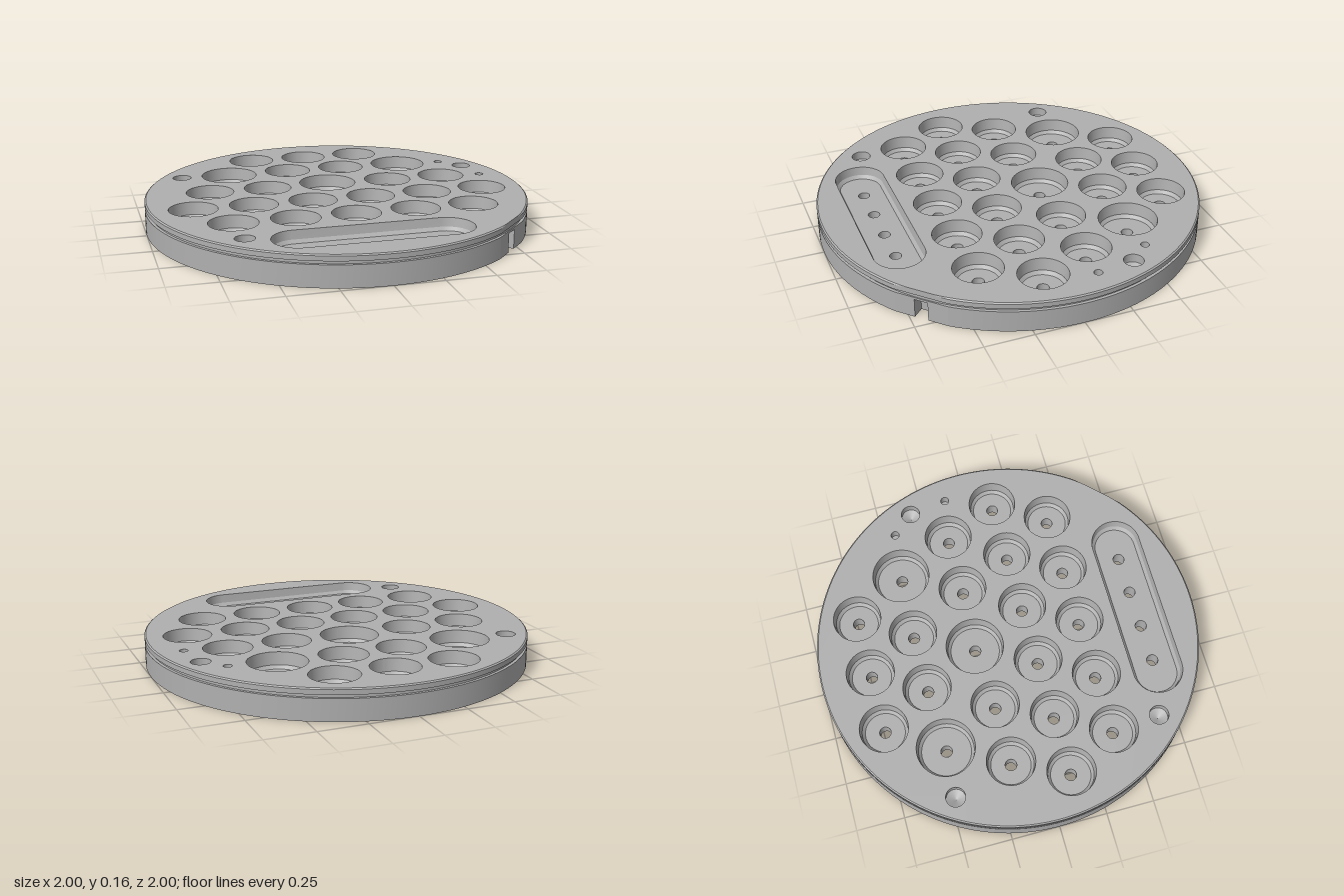
import * as THREE from 'three';
import { toCreasedNormals } from 'three/addons/utils/BufferGeometryUtils.js';

const H = 0.16;        // plate height
const NOTCH_H = 0.1;   // height of the edge notch
const FLAT = 0.99;     // distance of the edge flat from the centre
const V = (x, y) => new THREE.Vector2(x, y);

// Outlines are counter-clockwise in plan, with plan y = -z.
const pill = (x, z, r, half = 0, n = 64) => Array.from({ length: n }, (_, i) => {
  const a = ((i + 0.5) / n) * Math.PI * 2;
  return V(x + r * Math.cos(a) + half * Math.sign(Math.cos(a)), -z + r * Math.sin(a));
});

// Plate rim: a circle cut by a flat that faces the front left corner
const turn = (p) => p.rotateAround(V(0, 0), -Math.PI / 4);
const rimPoint = (r, i) => {
  const a = (i / 180) * Math.PI * 2;
  const c = Math.cos(a);
  const d = c > 0.9 ? Math.min(r, FLAT / c) : r;
  return turn(V(d * c, d * Math.sin(a)));
};
const rim = (r) => Array.from({ length: 180 }, (_, i) => rimPoint(r, i));
const notchedRim = () => {
  const pts = [turn(V(FLAT, 0.035))];
  for (let i = 2; i <= 178; i++) pts.push(rimPoint(1, i));
  [[FLAT, -0.035], [0.925, -0.035], [0.925, 0.035]].forEach(([x, y]) => pts.push(turn(V(x, y))));
  return pts;
};

// Wall through a list of [outline, height]; rising lists face out, falling lists face in
function wall(sections) {
  const pos = [], index = [], n = sections[0][0].length;
  sections.forEach(([pts, y]) => pts.forEach((p) => pos.push(p.x, y, -p.y)));
  for (let s = 0; s < sections.length - 1; s++) {
    for (let i = 0; i < n; i++) {
      const j = (i + 1) % n;
      const a = s * n + i, b = s * n + j, c = b + n, d = a + n;
      index.push(a, b, c, a, c, d);
    }
  }
  const g = new THREE.BufferGeometry();
  g.setAttribute('position', new THREE.Float32BufferAttribute(pos, 3));
  g.setIndex(index);
  return toCreasedNormals(g, 0.12);
}

// Flat horizontal face with holes
function face(outline, holes, y, down = false) {
  const shape = new THREE.Shape(outline);
  shape.holes = holes.map((h) => new THREE.Path(h));
  const g = new THREE.ShapeGeometry(shape);
  g.rotateX(-Math.PI / 2).translate(0, y, 0);
  if (down) {
    g.index.array.reverse();
    g.computeVertexNormals();
  }
  return g;
}

export function createModel() {
  const grey = new THREE.MeshStandardMaterial({ color: 0xb0b0b0 });
  grey.name = 'grey';
  const model = new THREE.Group();
  model.name = 'holderPlate';
  const add = (name, geometry) => {
    const mesh = new THREE.Mesh(geometry, grey);
    mesh.name = name;
    model.add(mesh);
  };

  // Pockets: x, z, radius, half length, floor height, drain hole offsets
  const pockets = [];
  const row = (z, xs, r = 0.125) => xs.forEach((x) => pockets.push([x, z, r, 0, 0.078, [0]]));
  row(-0.74, [-0.31, 0, 0.31]);
  row(-0.475, [-0.155, 0.155]);
  row(-0.46, [-0.49, 0.49], 0.15);
  row(-0.16, [-0.645, -0.335, 0.335, 0.645]);
  row(-0.18, [0], 0.15);
  row(0.12, [-0.775, -0.465, -0.155, 0.155, 0.465, 0.775]);
  row(0.39, [-0.62, -0.31, 0, 0.31, 0.62]);
  pockets.push([0, 0.705, 0.13, 0.37, 0.098, [-0.3, -0.1, 0.1, 0.3]]);

  const topHoles = [], bottomHoles = [];
  pockets.forEach(([x, z, r, half, floor, drains]) => {
    const at = (k) => pill(x, z, k, half);
    topHoles.push(at(r));
    add('pocketWall', wall([[at(r), H], [at(r - 0.007), floor + 0.017], [at(r - 0.022), floor]]));
    const drainOutlines = drains.map((d) => pill(x + d, z, 0.03, 0, 32));
    add('pocketFloor', face(at(r - 0.022), drainOutlines, floor));
    drainOutlines.forEach((o) => {
      bottomHoles.push(o);
      add('drainHole', wall([[o, floor], [o, 0]]));
    });
  });

  // Drilled holes in the top, with conical ends
  [[-0.75, -0.475], [0.83, -0.325], [-0.61, 0.635]].forEach(([x, z]) => {
    const o = pill(x, z, 0.05);
    topHoles.push(o);
    add('topDrillHole', wall([[o, H], [o, 0.115], [pill(x, z, 0.0005), 0.09]]));
  });

  // Small pin holes in the top
  [[0.73, -0.435], [0.86, -0.125]].forEach(([x, z]) => {
    const o = pill(x, z, 0.022);
    topHoles.push(o);
    add('pinHole', wall([[o, H], [o, 0.11]]));
    add('pinHoleFloor', face(o, [], 0.11));
  });

  // Drilled holes in the underside, spaced a quarter turn apart with the notch
  [[0.64, -0.64], [-0.64, -0.64], [-0.64, 0.64]].forEach(([x, z]) => {
    const o = pill(x, z, 0.05);
    bottomHoles.push(o);
    add('bottomDrillHole', wall([[pill(x, z, 0.0005), 0.065], [o, 0.045], [o, 0]]));
  });

  // Plate skin: notched lower side, grooved upper side, top and underside
  add('lowerSide', wall([[notchedRim(), 0], [notchedRim(), NOTCH_H]]));
  add('upperSide', wall([
    [1, NOTCH_H], [1, 0.112], [0.985, 0.112], [0.985, 0.129],
    [1, 0.129], [1, 0.154], [0.993, H],
  ].map(([r, y]) => [rim(r), y])));
  add('topFace', face(rim(0.993), topHoles, H));
  add('underside', face(notchedRim(), bottomHoles, 0, true));
  const ceiling = [[0.925, -0.035], [FLAT, -0.035], [FLAT, 0.035], [0.925, 0.035]];
  add('notchCeiling', face(ceiling.map(([x, y]) => turn(V(x, y))), [], NOTCH_H, true));

  return model;
}
